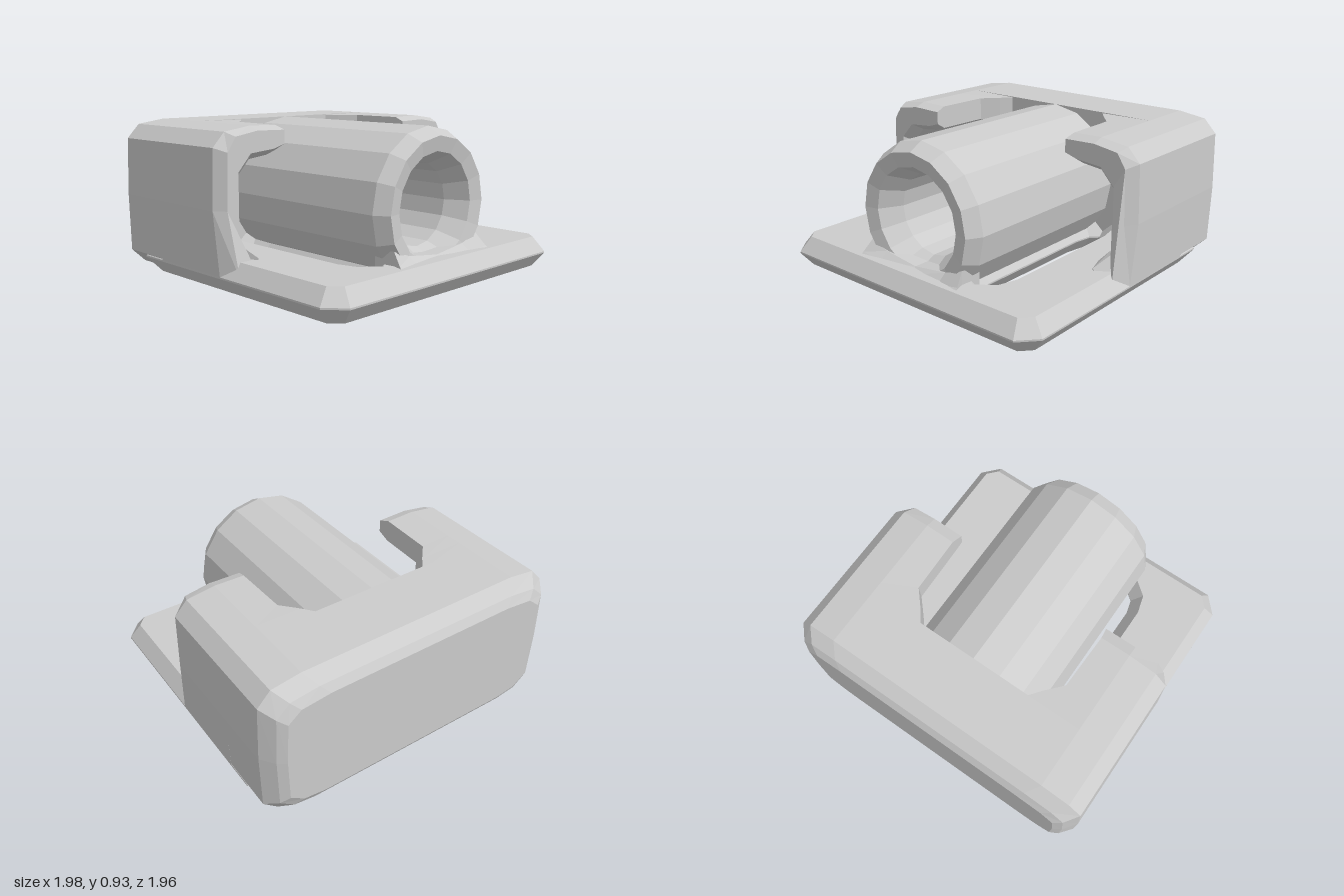
import * as THREE from 'three';

const material = new THREE.MeshStandardMaterial({ color: 0xcccccc, flatShading: true, side: THREE.DoubleSide });

function part(name, geometry) {
  const mesh = new THREE.Mesh(geometry, material);
  mesh.name = name;
  return mesh;
}

// Skin between equal-length loops (counter-clockwise seen from +z, z rising), closed at both ends
function loft(loops) {
  const positions = [];
  const tri = (a, b, c) => positions.push(...a, ...b, ...c);
  const n = loops[0].length;
  for (let k = 0; k < loops.length - 1; k++) {
    const a = loops[k], b = loops[k + 1];
    for (let i = 0; i < n; i++) {
      const j = (i + 1) % n;
      tri(a[i], a[j], b[j]);
      tri(a[i], b[j], b[i]);
    }
  }
  const cap = (loop, flip) => {
    const flat = loop.map(p => new THREE.Vector2(p[0], p[1]));
    for (const [a, b, c] of THREE.ShapeUtils.triangulateShape(flat, [])) {
      if (flip) tri(loop[a], loop[c], loop[b]);
      else tri(loop[a], loop[b], loop[c]);
    }
  };
  cap(loops[0], true);
  cap(loops[loops.length - 1], false);
  const geometry = new THREE.BufferGeometry();
  geometry.setAttribute('position', new THREE.Float32BufferAttribute(positions, 3));
  geometry.computeVertexNormals();
  return geometry;
}

// Solid rear block with worn, chamfered edges
function rearBlock() {
  const loop = (z, inset) => {
    const half = [[0.75, 0], [0.89, 0.025], [0.98, 0.11], [0.99, 0.47], [0.98, 0.82], [0.9, 0.905], [0.72, 0.93]];
    const right = half.map(([x, y]) => [x - inset, 0.465 + (y - 0.465) * (1 - inset / 0.465), z]);
    const left = right.map(([x, y]) => [-x, y, z]).reverse();
    return [...right, ...left];
  };
  return part('rearBlock', loft([loop(-0.98, 0.11), loop(-0.95, 0.06), loop(-0.87, 0), loop(-0.5, 0)]));
}

// Outer wall and roof around each pocket; the roof edge tapers into the slot tip
function sideShell(side) {
  const loop = (z, edge, inner, outer, foot = 0) => {
    const points = [
      [0.98 - outer, 0.1, z + foot], [0.99 - outer, 0.47, z], [0.98 - outer, 0.82 - outer / 2, z],
      [0.9 - outer / 2, 0.905 - outer / 2, z], [0.72, 0.93 - outer / 2, z], [edge, 0.925 - outer / 2, z],
      [edge, 0.78 - inner, z], [0.6, 0.755 - inner, z], [0.73 - inner, 0.74 - inner, z],
      [0.82 - inner, 0.64 - inner, z], [0.82 - inner, 0.27, z], [0.76 - inner, 0.2, z + foot], [0.76 - inner, 0.1, z + foot]
    ];
    return side > 0 ? points : points.map(([x, y, w]) => [-x, y, w]).reverse();
  };
  return part(side > 0 ? 'leftShell' : 'rightShell', loft([
    loop(-0.52, 0.36, 0.08, 0),
    loop(-0.43, 0.43, 0.02, 0),
    loop(-0.33, 0.52, 0, 0),
    loop(0.02, 0.53, 0, 0, 0.04),
    loop(0.09, 0.52, -0.04, 0.05, 0.09)
  ]));
}

// Base plate with bevelled rim and two long slots beside the tube
function basePlate() {
  const outline = new THREE.Shape();
  [[-0.98, -0.7], [0.98, -0.7], [0.98, 0.87], [0.88, 0.98], [-0.88, 0.98], [-0.98, 0.87]]
    .forEach(([x, z], i) => (i ? outline.lineTo(x, z) : outline.moveTo(x, z)));
  outline.closePath();
  for (const side of [-1, 1]) {
    const slot = new THREE.Path();
    [[0.36, -0.42], [0.41, -0.47], [0.46, -0.42], [0.485, -0.3], [0.485, 0.55], [0.46, 0.64], [0.41, 0.68], [0.36, 0.64], [0.34, 0.55], [0.34, -0.3]]
      .forEach(([x, z], i) => (i ? slot.lineTo(side * x, z) : slot.moveTo(side * x, z)));
    slot.closePath();
    outline.holes.push(slot);
  }
  const geometry = new THREE.ExtrudeGeometry(outline, {
    depth: 0.01, bevelThickness: 0.09, bevelSize: 0.07, bevelOffset: -0.07, bevelSegments: 1
  });
  geometry.rotateX(Math.PI / 2).translate(0, 0.1, 0);
  return part('basePlate', geometry);
}

// Central tube with a flared mouth and a blind bore
function centralTube() {
  const profile = [[0, -0.5], [0.25, -0.5], [0.25, 0.66], [0.32, 0.8], [0.41, 0.82], [0.46, 0.73], [0.46, -0.55]]
    .map(([r, z]) => new THREE.Vector2(r, z));
  const geometry = new THREE.LatheGeometry(profile, 16);
  geometry.rotateX(Math.PI / 2).translate(0, 0.47, 0);
  return part('centralTube', geometry);
}

// Sloped foot joining the tube mouth to the front of the plate
function tubeFoot() {
  const loop = (z, width, rise) => [
    [-width, 0.08, z], [width, 0.08, z], [width, 0.12 + rise, z],
    [0.24, 0.12 + rise * 0.7, z], [0, 0.12 + rise * 0.5, z], [-0.24, 0.12 + rise * 0.7, z], [-width, 0.12 + rise, z]
  ];
  return part('tubeFoot', loft([loop(0.68, 0.38, 0.15), loop(0.81, 0.37, 0.15), loop(0.87, 0.39, 0.08), loop(0.96, 0.42, 0)]));
}

export function createModel() {
  const model = new THREE.Group();
  model.name = 'slottedTubeBlock';
  model.add(rearBlock(), basePlate(), centralTube(), tubeFoot());
  for (const side of [-1, 1]) model.add(sideShell(side));
  return model;
}
